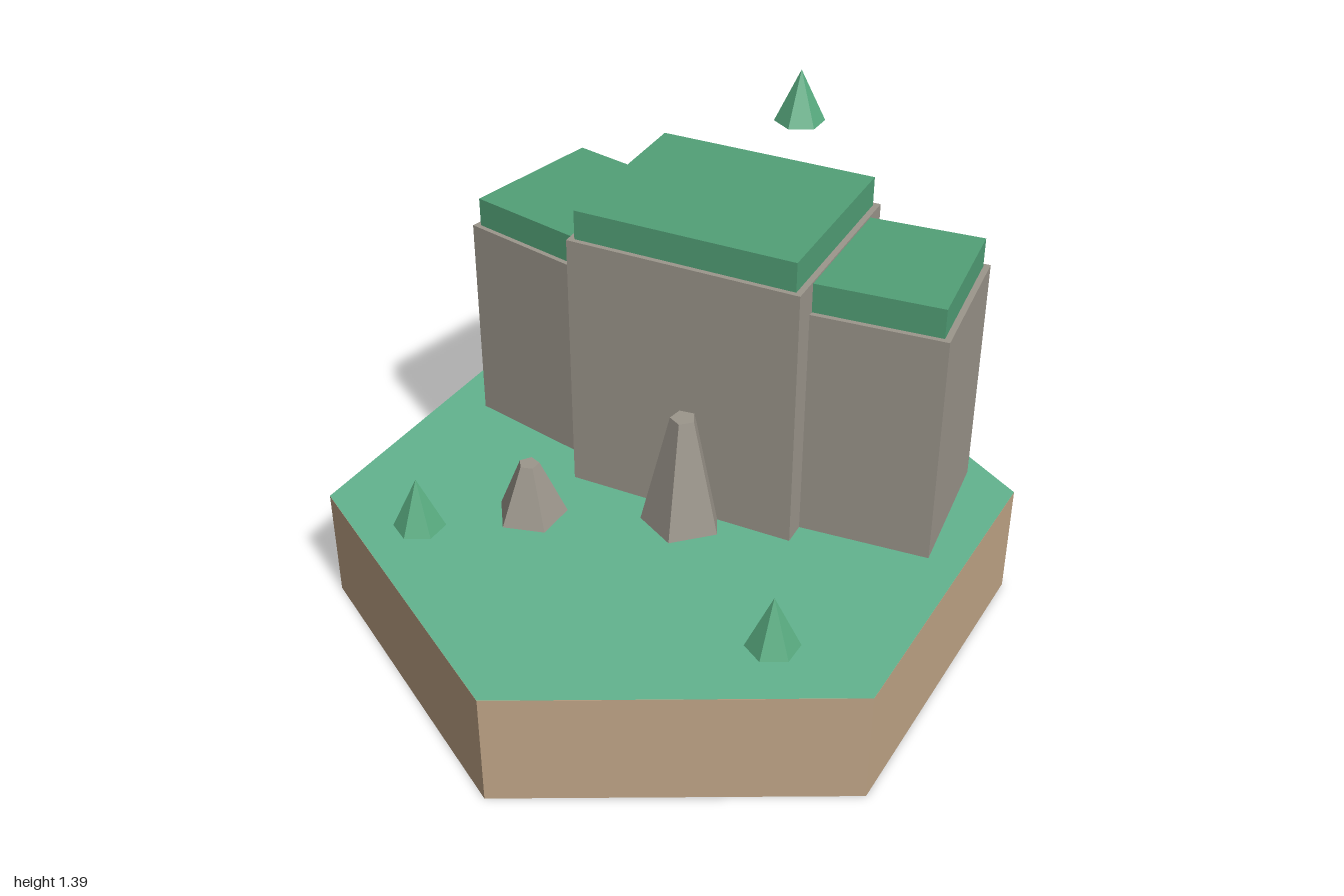
import * as THREE from 'three';

const GROUND = 0.345;
const paint = (color) => new THREE.MeshStandardMaterial({ color, flatShading: true });

export function createModel() {
  const model = new THREE.Group();
  const earth = paint(0xbfa486), grass = paint(0x62b48f), moss = paint(0x52a077);
  const stone = paint(0x9c968c), leaf = paint(0x58ab80);

  const add = (name, geometry, material, x, y, z, turn = 0) => {
    const mesh = new THREE.Mesh(geometry, material);
    mesh.name = name;
    mesh.position.set(x, y, z);
    mesh.rotation.y = turn;
    model.add(mesh);
    return mesh;
  };

  // Hexagonal slab of earth with a grass surface
  add('earthBase', new THREE.CylinderGeometry(1, 1, GROUND, 6), earth, 0, GROUND / 2, 0);
  const top = new THREE.CircleGeometry(1, 6, Math.PI / 2).rotateX(-Math.PI / 2);
  add('grassSurface', top, grass, 0, GROUND + 0.001, 0);

  // Cliff blocks, each with a slightly smaller mossy cap
  const cliff = (name, x, z, w, d, height, turn) => {
    const cap = 0.087;
    add(name + 'Cliff', new THREE.BoxGeometry(w, height, d), stone, x, GROUND + height / 2, z, turn);
    add(name + 'Cap', new THREE.BoxGeometry(w - 0.035, cap, d - 0.03), moss, x, GROUND + height + cap / 2, z, turn);
  };
  cliff('centre', 0.035, -0.24, 0.69, 0.58, 0.795, 0.054);
  cliff('right', -0.452, -0.307, 0.5, 0.478, 0.64, -0.178);
  cliff('left', 0.515, -0.28, 0.45, 0.443, 0.703, 0.131);

  // Tapered five-sided rocks
  const rock = (name, x, z, rTop, rBase, h, turn) =>
    add(name, new THREE.CylinderGeometry(rTop, rBase, h, 5), stone, x, GROUND + h / 2, z, turn);
  rock('tallRock', 0.084, 0.088, 0.037, 0.122, 0.35, 0.17);
  rock('shortRock', -0.31, 0.277, 0.03, 0.105, 0.175, -0.314);

  // Cone trees
  [[-0.555, GROUND, 0.483], [0.553, GROUND, 0.447], [0, 1.23, -0.765]].forEach(([x, y, z], i) =>
    add('tree' + (i + 1), new THREE.ConeGeometry(0.076, 0.16, 6), leaf, x, y + 0.08, z));

  return model;
}
